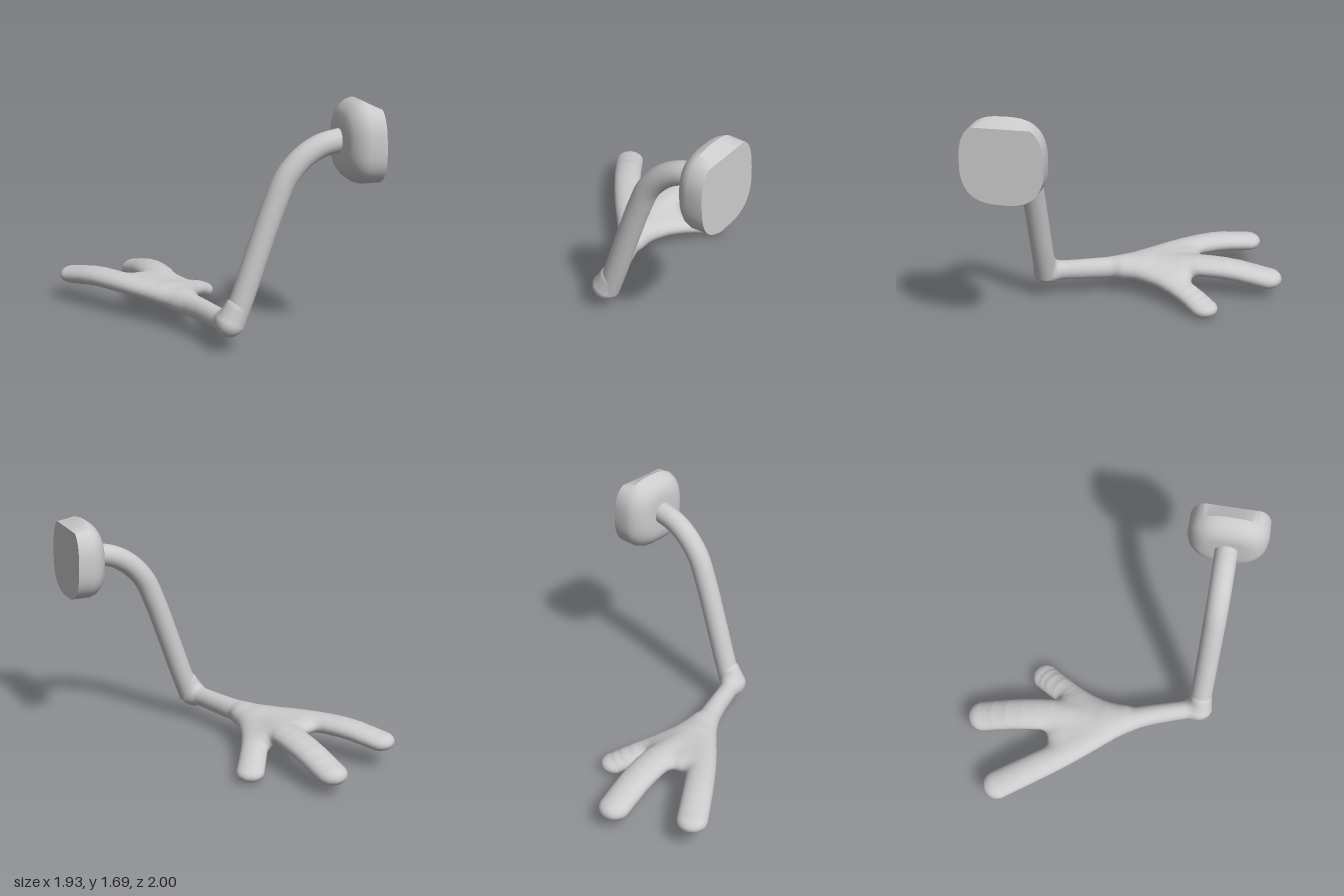
import * as THREE from 'three';
import { toCreasedNormals } from 'three/addons/utils/BufferGeometryUtils.js';

const material = new THREE.MeshStandardMaterial({ color: 0xcccccc });

// A limb is a smooth spine; each point is [x, y, z, half width, flattening].
function limb(points, blend, steps = 10) {
  const curve = new THREE.CatmullRomCurve3(points.map((p) => new THREE.Vector3(p[0], p[1], p[2])));
  const samples = [];
  for (let i = 0; i <= steps; i++) {
    const t = i / steps, f = t * (points.length - 1);
    const n = Math.min(Math.floor(f), points.length - 2);
    const mix = (c) => THREE.MathUtils.lerp(points[n][c], points[n + 1][c], f - n);
    const p = curve.getPoint(t);
    samples.push([p.x, p.y, p.z, mix(3), mix(4)]);
  }
  return { samples, blend };
}

// Distance to a limb, narrowed to its nearest spine segment
function limbDistance({ samples }, x, y, z) {
  let best = Infinity;
  for (let i = 0; i < samples.length - 1; i++) {
    const a = samples[i], b = samples[i + 1];
    const dx = b[0] - a[0], dy = b[1] - a[1], dz = b[2] - a[2];
    let t = ((x - a[0]) * dx + (y - a[1]) * dy + (z - a[2]) * dz) / (dx * dx + dy * dy + dz * dz);
    t = Math.min(1, Math.max(0, t));
    const flat = a[4] + (b[4] - a[4]) * t;
    const d = Math.hypot(x - a[0] - dx * t, (y - a[1] - dy * t) * flat, z - a[2] - dz * t);
    best = Math.min(best, d - a[3] - (b[3] - a[3]) * t);
  }
  return best;
}

// Smooth union of all limbs
function skinDistance(limbs, x, y, z) {
  let d = 10;
  for (const l of limbs) {
    const e = limbDistance(l, x, y, z);
    const h = Math.max(l.blend - Math.abs(d - e), 0);
    d = Math.min(d, e) - (h * h) / (4 * l.blend);
  }
  return d;
}

// Wraps one continuous quad skin round the limbs
function skinGeometry(limbs, min, max, step) {
  const size = min.map((m, a) => Math.ceil((max[a] - m) / step) + 1);
  const stride = [1, size[0], size[0] * size[1]];
  const at = (x, y, z) => skinDistance(limbs, x, y, z);
  const field = new Float32Array(size[0] * size[1] * size[2]);
  const each = (low, fn) => {
    for (let k = low; k < size[2] - 1; k++)
      for (let j = low; j < size[1] - 1; j++)
        for (let i = low; i < size[0] - 1; i++) fn(i, j, k, i + j * stride[1] + k * stride[2]);
  };
  for (let n = 0; n < field.length; n++) {
    const i = n % size[0], j = Math.floor(n / stride[1]) % size[1], k = Math.floor(n / stride[2]);
    field[n] = at(min[0] + i * step, min[1] + j * step, min[2] + k * step);
  }

  // One vertex per crossed cell, pulled onto the surface
  const cell = new Int32Array(field.length).fill(-1);
  const position = [], normal = [], index = [];
  const gradient = (p) => new THREE.Vector3(...[0, 1, 2].map((a) => {
    const hi = [...p], lo = [...p];
    hi[a] += 0.006;
    lo[a] -= 0.006;
    return (at(...hi) - at(...lo)) / 0.012;
  }));
  each(0, (i, j, k, n) => {
    const sum = [0, 0, 0];
    let count = 0;
    for (let c = 0; c < 8; c++) {
      for (let a = 0; a < 3; a++) {
        if (c & (1 << a)) continue;
        const bits = [c & 1, (c >> 1) & 1, (c >> 2) & 1];
        const m = n + bits[0] + bits[1] * stride[1] + bits[2] * stride[2];
        const f = field[m], g = field[m + stride[a]];
        if (f < 0 === g < 0) continue;
        bits[a] = f / (f - g);
        bits.forEach((b, q) => (sum[q] += b));
        count++;
      }
    }
    if (!count) return;
    const p = [i, j, k].map((v, a) => min[a] + (v + sum[a] / count) * step);
    const g = gradient(p), d = at(...p) / Math.max(g.lengthSq(), 0.3);
    cell[n] = position.length / 3;
    position.push(p[0] - g.x * d, p[1] - g.y * d, p[2] - g.z * d);
    normal.push(...g.normalize().toArray());
  });

  // One quad per crossed grid edge
  each(1, (i, j, k, n) => {
    for (let a = 0; a < 3; a++) {
      const inside = field[n] < 0;
      if (inside === field[n + stride[a]] < 0) continue;
      const u = stride[(a + 1) % 3], v = stride[(a + 2) % 3];
      const q = [cell[n], cell[n - u], cell[n - u - v], cell[n - v]];
      if (!inside) q.reverse();
      index.push(q[0], q[1], q[2], q[0], q[2], q[3]);
    }
  });
  const geometry = new THREE.BufferGeometry();
  geometry.setAttribute('position', new THREE.Float32BufferAttribute(position, 3));
  geometry.setAttribute('normal', new THREE.Float32BufferAttribute(normal, 3));
  geometry.setIndex(index);
  return geometry;
}

// Rounded-square shoulder pad, lofted along x with a trimmed top edge
function shoulderGeometry() {
  const rings = [[0.72, 0.001], [0.72, 0.13], [0.727, 0.18], [0.745, 0.215], [0.77, 0.245],
    [0.8, 0.268], [0.84, 0.282], [0.965, 0.28], [0.965, 0.001]];
  const sides = 48, position = [], index = [];
  const bulge = (v) => Math.sign(v) * Math.abs(v) ** 0.74;
  rings.forEach(([x, r], n) => {
    for (let s = 0; s < sides; s++) {
      const a = (s / sides) * Math.PI * 2;
      let y = 1.41 + r * bulge(Math.cos(a));
      const outer = n >= rings.length - 2;
      if (outer) y = Math.min(y, 1.64);
      position.push(outer ? x - 0.04 * (y - 1.13) : x, y, 0.715 + r * bulge(Math.sin(a)));
      if (n === rings.length - 1) continue;
      const p = n * sides + s, q = n * sides + ((s + 1) % sides);
      index.push(p, q, q + sides, p, q + sides, p + sides);
    }
  });
  const geometry = new THREE.BufferGeometry();
  geometry.setAttribute('position', new THREE.Float32BufferAttribute(position, 3));
  geometry.setIndex(index);
  return toCreasedNormals(geometry, 0.6);
}

export function createModel() {
  const model = new THREE.Group();
  const add = (name, geometry) => {
    const mesh = new THREE.Mesh(geometry, material);
    mesh.name = name;
    model.add(mesh);
  };

  add('shoulder', shoulderGeometry());

  // Upper arm, bending over into the shoulder
  const armPath = [[0, 0.19], [0.075, 0.4], [0.175, 0.7], [0.28, 1], [0.36, 1.18], [0.475, 1.31],
    [0.6, 1.385], [0.75, 1.42]].map(([x, y]) => new THREE.Vector3(x, y, 0.716));
  add('upperArm', new THREE.TubeGeometry(new THREE.CatmullRomCurve3(armPath), 48, 0.08, 24));

  // Elbow, forearm, three fingers and the palm between them
  const limbs = [
    limb([[-0.02, 0.207, 0.718, 0.097, 1], [0.025, 0.3, 0.718, 0.083, 1]], 0.05, 2),
    limb([[-0.03, 0.2, 0.68, 0.072, 0.95], [-0.06, 0.2, 0.6, 0.068, 0.95], [-0.125, 0.2, 0.4, 0.073, 0.95],
      [-0.2, 0.2, 0.2, 0.085, 1.05], [-0.26, 0.21, 0.05, 0.1, 1.4]], 0.04),
    limb([[-0.21, 0.2, 0.2, 0.06, 1.1], [-0.41, 0.225, -0.06, 0.095, 1.4], [-0.57, 0.238, -0.26, 0.1, 1.45],
      [-0.72, 0.235, -0.47, 0.105, 1.5], [-0.855, 0.198, -0.675, 0.107, 1.65]], 0.06),
    limb([[-0.2, 0.2, 0.15, 0.06, 1.1], [-0.26, 0.22, -0.1, 0.1, 1.5], [-0.27, 0.232, -0.38, 0.12, 1.65],
      [-0.295, 0.212, -0.62, 0.116, 1.6], [-0.335, 0.142, -0.89, 0.112, 1.55]], 0.07),
    limb([[-0.17, 0.2, 0.15, 0.06, 1.1], [-0.165, 0.185, 0, 0.085, 1.3], [-0.11, 0.16, -0.18, 0.095, 1.45],
      [0, 0.11, -0.37, 0.097, 1.6], [0.078, 0.06, -0.482, 0.1, 1.7]], 0.07),
    limb([[-0.3, 0.215, 0, 0.08, 1.4], [-0.42, 0.228, -0.27, 0.1, 1.55]], 0.08, 2),
    limb([[-0.22, 0.2, 0, 0.08, 1.4], [-0.17, 0.185, -0.25, 0.09, 1.5]], 0.08, 2),
  ];
  add('forearmAndHand', skinGeometry(limbs, [-1.04, -0.06, -1.06], [0.26, 0.46, 0.88], 0.02));

  return model;
}
